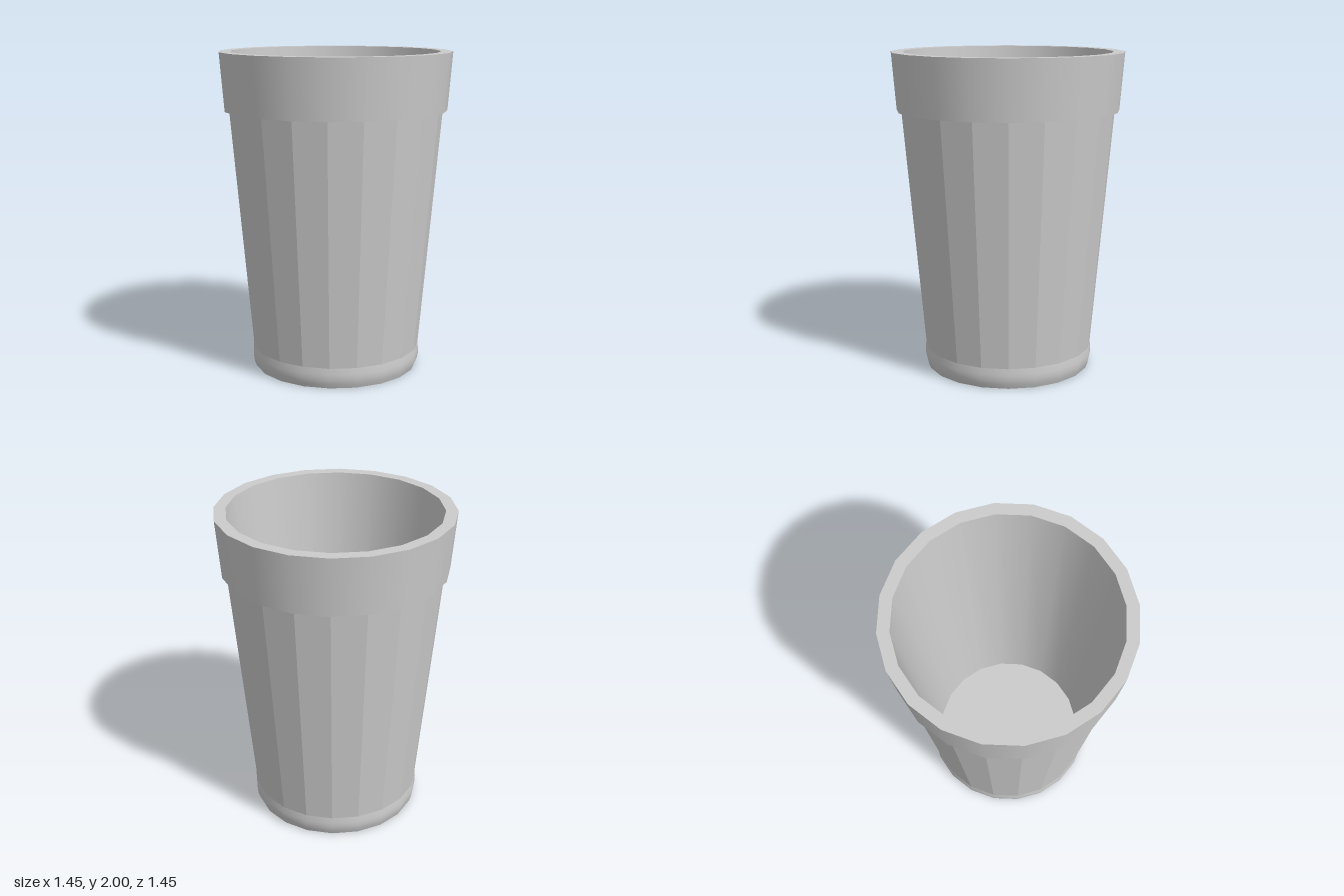
import * as THREE from 'three';

const SIDES = 20;

export function createModel() {
  const cup = new THREE.Group();
  cup.name = 'cup';
  const smooth = new THREE.MeshStandardMaterial({ color: 0xcccccc });
  const faceted = new THREE.MeshStandardMaterial({ color: 0xcccccc, flatShading: true });

  // Turns a [radius, height] profile; each part is separate so its edges stay sharp
  const turn = (name, profile, material = smooth) => {
    const points = profile.map(([r, y]) => new THREE.Vector2(r, y));
    let geometry = new THREE.LatheGeometry(points, SIDES);
    if (material.flatShading) {
      geometry = geometry.toNonIndexed();
      geometry.computeVertexNormals();
    }
    const mesh = new THREE.Mesh(geometry, material);
    mesh.name = name;
    cup.add(mesh);
  };

  // Outside, from the bottom up
  turn('underside', [[0, 0], [0.52, 0]]);
  turn('baseBand', [[0.52, 0], [0.532, 0.03], [0.538, 0.06], [0.538, 0.09], [0.533, 0.13]]);
  turn('facetedWall', [[0.533, 0.13], [0.666, 1.64]], faceted);
  turn('rimLedge', [[0.666, 1.64], [0.694, 1.64]]);
  turn('rimBand', [[0.694, 1.64], [0.723, 2]]);
  turn('lip', [[0.723, 2], [0.65, 2]]);

  // Inside, from the lip down
  turn('innerWall', [[0.65, 2], [0.482, 0.08]]);
  turn('innerFloor', [[0.482, 0.08], [0, 0.08]]);

  return cup;
}
